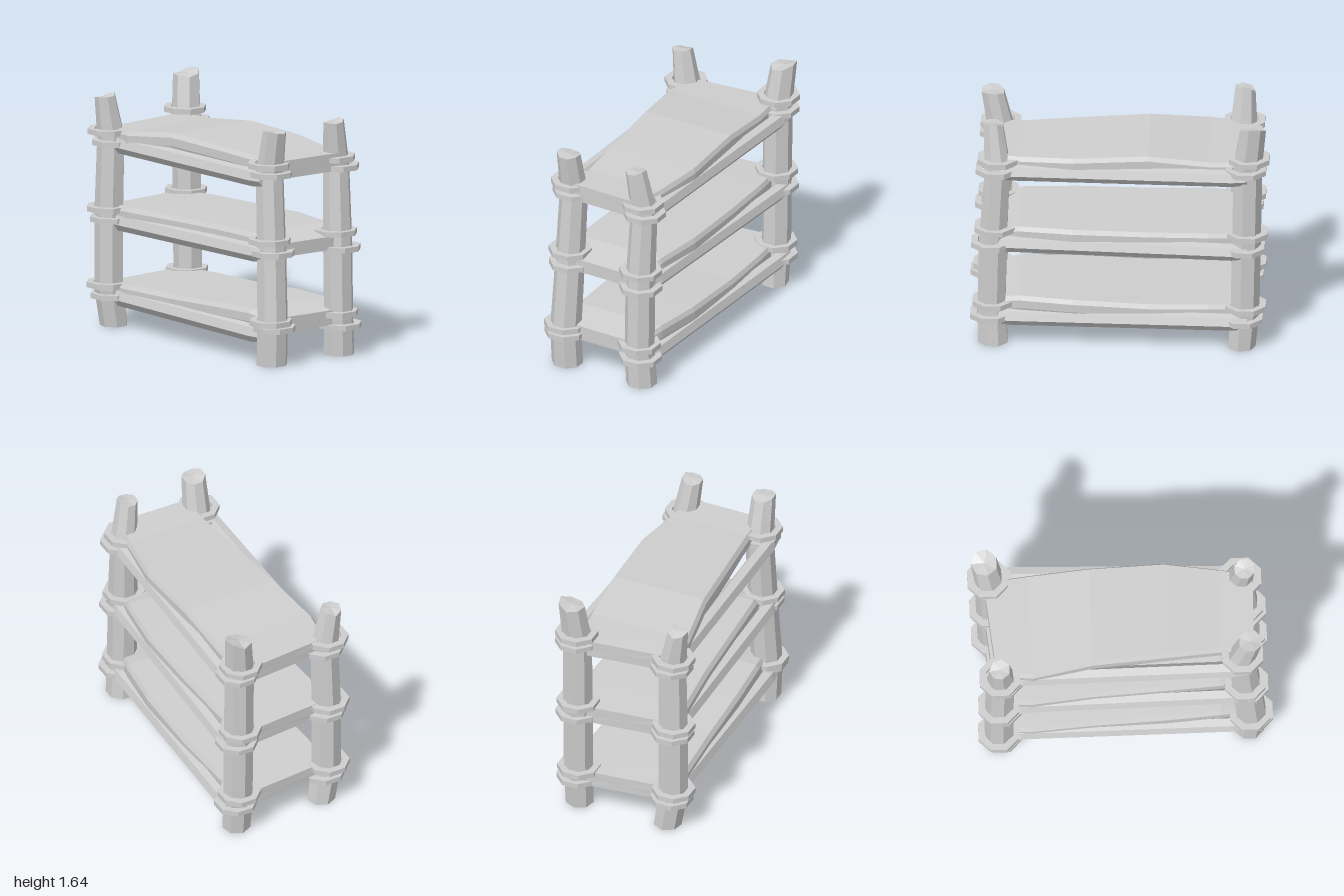
import * as THREE from 'three';

const wood = new THREE.MeshStandardMaterial({ color: 0xcecece, flatShading: true });
wood.name = 'plain grey';

// Closed solid through a row of cross-sections, each a loop of [x, y, z]
function loft(sections, name) {
  const n = sections[0].length;
  const pos = [];
  const tri = (a, b, c) => pos.push(...a, ...b, ...c);
  const middle = (s) => [0, 1, 2].map((k) => s.reduce((t, p) => t + p[k], 0) / n);
  for (let i = 0; i < sections.length - 1; i++) {
    const a = sections[i], b = sections[i + 1];
    for (let j = 0; j < n; j++) {
      const k = (j + 1) % n;
      tri(a[j], b[j], b[k]);
      tri(a[j], b[k], a[k]);
    }
  }
  const first = sections[0], last = sections[sections.length - 1];
  const c0 = middle(first), c1 = middle(last);
  for (let j = 0; j < n; j++) {
    const k = (j + 1) % n;
    tri(c0, first[j], first[k]);
    tri(c1, last[k], last[j]);
  }
  // Turn the faces outward if the loop ran the other way
  let volume = 0;
  const v = (i) => new THREE.Vector3().fromArray(pos, i);
  for (let i = 0; i < pos.length; i += 9) volume += v(i).dot(v(i + 3).cross(v(i + 6)));
  if (volume < 0) {
    for (let i = 0; i < pos.length; i += 9) {
      for (let k = 0; k < 3; k++) [pos[i + 3 + k], pos[i + 6 + k]] = [pos[i + 6 + k], pos[i + 3 + k]];
    }
  }
  const g = new THREE.BufferGeometry();
  g.setAttribute('position', new THREE.Float32BufferAttribute(pos, 3));
  g.computeVertexNormals();
  const mesh = new THREE.Mesh(g, wood);
  mesh.name = name;
  return mesh;
}

// Posts: axis points [x, y, z, radius], slope of the cut top along x and z, heights of the ropes
const posts = [
  { name: 'frontRightPost', sides: 7, tilt: [0.15, -0.1], ropes: [0.21, 0.285, 0.73, 0.8, 1.25, 1.325],
    axis: [[-0.82, 0, 0.3, 0.095], [-0.82, 0.25, 0.34, 0.1], [-0.82, 0.75, 0.34, 0.1], [-0.81, 1.28, 0.33, 0.095], [-0.82, 1.565, 0.375, 0.07]] },
  { name: 'backRightPost', sides: 7, tilt: [-0.05, -0.2], ropes: [0.21, 0.295, 0.73, 0.83, 1.305, 1.38],
    axis: [[-0.82, 0, -0.34, 0.095], [-0.84, 0.25, -0.34, 0.1], [-0.85, 0.75, -0.34, 0.1], [-0.86, 1.33, -0.34, 0.1], [-0.895, 1.615, -0.365, 0.09]] },
  { name: 'frontLeftPost', sides: 8, tilt: [0.05, 0.06], ropes: [0.25, 0.29, 0.755, 0.835, 1.285, 1.345],
    axis: [[0.84, 0, 0.26, 0.105], [0.855, 0.25, 0.265, 0.105], [0.825, 0.75, 0.25, 0.1], [0.79, 1.28, 0.24, 0.095], [0.85, 1.58, 0.245, 0.08]] },
  { name: 'backLeftPost', sides: 8, tilt: [0.05, -0.14], ropes: [0.2, 0.285, 0.725, 0.83, 1.27, 1.33],
    axis: [[0.83, 0, -0.31, 0.105], [0.84, 0.25, -0.3, 0.1], [0.83, 0.75, -0.3, 0.1], [0.8, 1.28, -0.31, 0.09], [0.83, 1.585, -0.265, 0.07]] },
];

function axisAt(axis, y) {
  let i = 0;
  while (i < axis.length - 2 && axis[i + 1][1] < y) i++;
  const t = (y - axis[i][1]) / (axis[i + 1][1] - axis[i][1]);
  return axis[i].map((v, k) => v + (axis[i + 1][k] - v) * t);
}

// The cut top dips along a groove through its middle
function makePost({ name, sides, tilt, axis }) {
  return loft(axis.map(([x, y, z, r], i) => Array.from({ length: sides }, (_, j) => {
    const a = ((j + 0.5) / sides) * Math.PI * 2;
    const dx = Math.cos(a) * r, dz = Math.sin(a) * r;
    const cut = i === axis.length - 1 ? dx * tilt[0] + dz * tilt[1] + Math.abs(dz) * 0.3 - 0.018 : 0;
    return [x + dx, y + cut, z + dz];
  })), name);
}

// Flat eight-sided rope band
function octagon(target, r) {
  for (let j = 0; j < 8; j++) {
    const a = ((j + 0.5) / 8) * Math.PI * 2;
    target[j ? 'lineTo' : 'moveTo'](Math.cos(a) * r, Math.sin(a) * r);
  }
  target.closePath();
  return target;
}
const ropeShape = octagon(new THREE.Shape(), 0.145);
ropeShape.holes.push(octagon(new THREE.Path(), 0.098));
const ropeGeometry = new THREE.ExtrudeGeometry(ropeShape, { depth: 0.036, bevelEnabled: false });
ropeGeometry.translate(0, 0, -0.018);
ropeGeometry.rotateX(-Math.PI / 2);

// Shelves: x of the stations, then per station front edge z, back edge z and top height;
// underside height at both ends, rail heights at both ends
const frontX = [-0.84, -0.6, -0.2, 0.3, 0.65, 0.875];
const backX = [-0.9, -0.6, -0.2, 0.3, 0.65, 0.885];
const shelves = [
  { name: 'bottomShelf', front: [0.32, 0.335, 0.31, 0.3, 0.28, 0.25], back: [-0.32, -0.36, -0.38, -0.385, -0.35, -0.3],
    top: [0.3, 0.31, 0.315, 0.34, 0.35, 0.315], under: [0.19, 0.215], rail: [0.205, 0.2], backRail: [0.205, 0.2] },
  { name: 'middleShelf', front: [0.32, 0.335, 0.3, 0.28, 0.26, 0.23], back: [-0.32, -0.36, -0.38, -0.39, -0.35, -0.3],
    top: [0.82, 0.835, 0.845, 0.86, 0.86, 0.815], under: [0.7, 0.725], rail: [0.712, 0.75], backRail: [0.72, 0.74] },
  { name: 'topShelf', front: [0.31, 0.34, 0.28, 0.24, 0.21, 0.21], back: [-0.32, -0.35, -0.37, -0.39, -0.34, -0.3],
    top: [1.345, 1.355, 1.4, 1.385, 1.37, 1.375], under: [1.23, 1.255], rail: [1.237, 1.257], backRail: [1.265, 1.265] },
];

// Plank with a flat underside and bevelled, overhanging long edges
function makePlank({ name, front, back, top, under }) {
  return loft(top.map((y, i) => {
    const f = front[i], b = back[i], fx = frontX[i], bx = backX[i];
    const u = under[0] + (under[1] - under[0]) * (fx - frontX[0]) / (frontX[5] - frontX[0]);
    const lip = Math.max(y - 0.085, u + 0.01);
    return [
      [bx, y, b], [fx, y, f], [fx, y - 0.03, f + 0.02], [fx, lip, f + 0.02],
      [fx, u, f], [bx, u, b], [bx, lip, b - 0.015], [bx, y - 0.03, b - 0.015],
    ];
  }), name + 'Plank');
}

// Six-sided rail, narrower at its very ends, with one face leaning down and out
function makeRail(name, from, to, r) {
  const out = Math.sign(from[2]);
  return loft([0, 0.06, 0.5, 0.94, 1].map((t) => {
    const [x, y, z] = from.map((v, k) => v + (to[k] - v) * t);
    const s = r * (t === 0 || t === 1 ? 0.75 : 1);
    return Array.from({ length: 6 }, (_, j) => {
      const a = ((j + 0.83) / 6) * Math.PI * 2;
      return [x, y + Math.sin(a) * s, z + out * Math.cos(a) * s * 0.9];
    });
  }), name);
}

export function createModel() {
  const model = new THREE.Group();
  model.name = 'shelfRack';

  for (const post of posts) {
    model.add(makePost(post));
    const ropes = new THREE.Group();
    ropes.name = post.name + 'Ropes';
    post.ropes.forEach((y, i) => {
      const [x, , z] = axisAt(post.axis, y);
      const rope = new THREE.Mesh(ropeGeometry, wood);
      rope.name = 'rope';
      rope.position.set(x + (i % 2 ? -0.008 : 0.008), y, z + (i % 2 ? 0.008 : -0.008));
      ropes.add(rope);
    });
    model.add(ropes);
  }

  for (const shelf of shelves) {
    const [l, r] = shelf.rail, [bl, br] = shelf.backRail;
    model.add(
      makePlank(shelf),
      makeRail(shelf.name + 'FrontRail', [-0.86, l, 0.32], [0.83, r, 0.32], 0.06),
      makeRail(shelf.name + 'BackRail', [-0.86, bl, -0.41], [0.83, br, -0.355], 0.058),
    );
  }
  return model;
}
